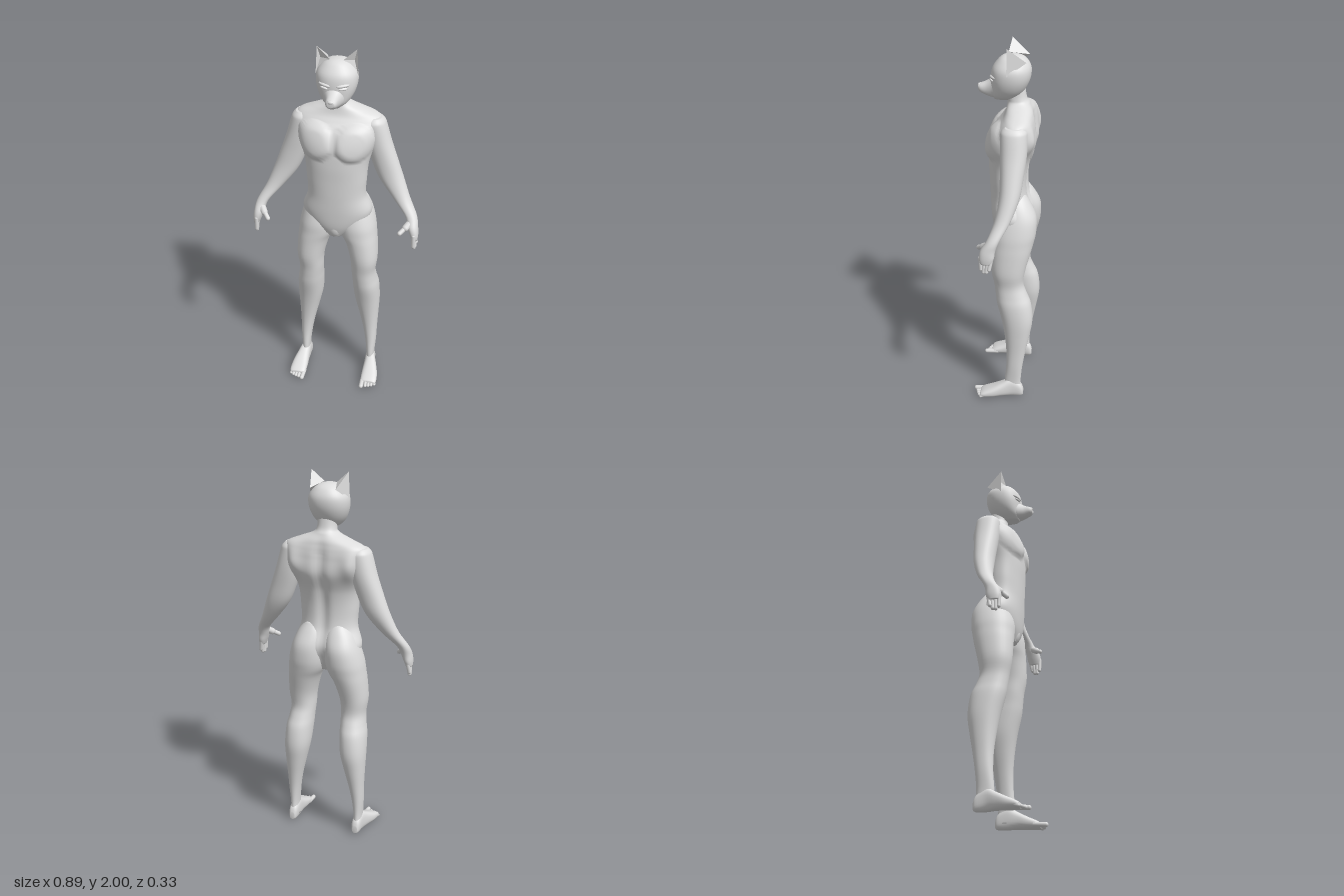
import * as THREE from 'three';

const skin = new THREE.MeshStandardMaterial({ color: 0xdedede });
skin.name = 'pale grey skin';
const eyeWhite = new THREE.MeshStandardMaterial({ color: 0xffffff });
eyeWhite.name = 'eye white';

// Smooth interpolation through a column of values
function smooth(rows, f) {
  const n = rows.length - 1, i = Math.min(Math.floor(f), n - 1), t = f - i;
  const a = rows[Math.max(i - 1, 0)], b = rows[i], c = rows[i + 1], d = rows[Math.min(i + 2, n)];
  return b.map((_, k) => {
    const m0 = (c[k] - a[k]) / 2, m1 = (d[k] - b[k]) / 2, t2 = t * t, t3 = t2 * t;
    return (2 * t3 - 3 * t2 + 1) * b[k] + (t3 - 2 * t2 + t) * m0 + (3 * t2 - 2 * t3) * c[k] + (t3 - t2) * m1;
  });
}

// Closed loft along y or z; each row is [position, uMin, uMax, vMin, vMax], positions ascending
function loft(rows, { axis = 'y', sides = 28, steps = 4, power = 0.92, bend = null } = {}) {
  const pos = [], idx = [], rings = (rows.length - 1) * steps + 1;
  const put = (u, v, t) => {
    const p = axis === 'y' ? [u, t, v] : [u, v, t];
    if (bend) bend(p);
    pos.push(...p);
  };
  const round = (c) => Math.sign(c) * Math.pow(Math.abs(c), power);
  const tri = (a, b, c) => idx.push(...(axis === 'y' ? [a, c, b] : [a, b, c]));
  for (let i = 0; i < rings; i++) {
    const [t, u0, u1, v0, v1] = smooth(rows, i / steps);
    for (let j = 0; j < sides; j++) {
      const a = (j / sides) * Math.PI * 2;
      put((u0 + u1) / 2 + round(Math.cos(a)) * (u1 - u0) / 2, (v0 + v1) / 2 + round(Math.sin(a)) * (v1 - v0) / 2, t);
    }
  }
  for (const r of [rows[0], rows[rows.length - 1]]) put((r[1] + r[2]) / 2, (r[3] + r[4]) / 2, r[0]);
  const low = rings * sides, top = (rings - 1) * sides;
  for (let j = 0; j < sides; j++) {
    const k = (j + 1) % sides;
    for (let i = 0; i < rings - 1; i++) {
      const a = i * sides + j, b = i * sides + k;
      tri(a, b, b + sides);
      tri(a, b + sides, a + sides);
    }
    tri(low, k, j);
    tri(low + 1, top + j, top + k);
  }
  const g = new THREE.BufferGeometry();
  g.setAttribute('position', new THREE.Float32BufferAttribute(pos, 3));
  g.setIndex(idx);
  g.computeVertexNormals();
  return g;
}

// Scaled and turned ball
function ball(center, radii, turnY = 0, turnZ = 0) {
  return new THREE.SphereGeometry(1, 24, 16).scale(...radii).rotateZ(turnZ).rotateY(turnY).translate(...center);
}

// Rounded rod between two points
function rod(from, to, radius) {
  const a = new THREE.Vector3(...from), b = new THREE.Vector3(...to), d = b.clone().sub(a);
  const g = new THREE.CapsuleGeometry(radius, d.length(), 4, 10);
  g.applyQuaternion(new THREE.Quaternion().setFromUnitVectors(new THREE.Vector3(0, 1, 0), d.normalize()));
  return g.translate(...a.add(b).multiplyScalar(0.5).toArray());
}

function mirrored(geo) {
  const g = geo.clone().scale(-1, 1, 1), ix = g.index.array;
  for (let i = 0; i < ix.length; i += 3) [ix[i + 1], ix[i + 2]] = [ix[i + 2], ix[i + 1]];
  const n = g.attributes.normal, p = geo.attributes.normal;
  for (let i = 0; i < n.count; i++) n.setXYZ(i, -p.getX(i), p.getY(i), p.getZ(i));
  return g;
}

// Chest muscles with a firm lower edge, shoulder blades and a spine groove
function muscles(p) {
  const x = Math.abs(p[0]), y = p[1];
  if (p[2] > 0) {
    const d = ((x - 0.1) / 0.1) ** 2 + ((y - 1.525) / 0.098) ** 2;
    p[2] += 0.021 * Math.sqrt(Math.min(Math.max((1 - d) * 1.6, 0), 1));
  } else if (p[2] < -0.06 && y < 1.7) {
    p[2] -= 0.03 * Math.exp(-(((x - 0.165) / 0.05) ** 2) - ((y - 1.55) / 0.075) ** 2);
    p[2] += 0.016 * Math.exp(-((x / 0.03) ** 2)) * Math.min((1.7 - y) * 10, 1);
  }
}

export function createModel() {
  const model = new THREE.Group();
  model.name = 'figure';
  const add = (name, geo, mat = skin) => {
    const m = new THREE.Mesh(geo, mat);
    m.name = name;
    model.add(m);
  };
  const pair = (name, geo, mat = skin) => {
    add('left ' + name, geo, mat);
    add('right ' + name, mirrored(geo), mat);
  };
  const even = ([y, w, z0, z1]) => [y, -w, w, z0, z1];

  // Torso and neck
  add('torso', loft([
    [0.955, 0.05, -0.09, 0.05], [1.02, 0.14, -0.125, 0.07], [1.1, 0.185, -0.146, 0.08], [1.2, 0.155, -0.114, 0.086],
    [1.3, 0.158, -0.108, 0.09], [1.4, 0.168, -0.122, 0.094], [1.5, 0.2, -0.156, 0.089], [1.58, 0.218, -0.152, 0.062],
    [1.62, 0.222, -0.146, 0.032], [1.645, 0.202, -0.14, 0.014], [1.67, 0.14, -0.132, 0.005], [1.7, 0.066, -0.113, 0],
    [1.73, 0.05, -0.096, 0.002], [1.8, 0.05, -0.085, 0.01]].map(even), { sides: 80, steps: 8, bend: muscles }));
  add('groin', ball([0, 1.01, 0.022], [0.046, 0.068, 0.046]));

  // Arms reach down to the palm
  pair('arm', loft([
    [1.0, 0.412, 0.444, 0.018, 0.076], [1.03, 0.4, 0.446, 0.006, 0.082], [1.07, 0.386, 0.442, 0, 0.075],
    [1.12, 0.367, 0.43, -0.02, 0.045], [1.2, 0.295, 0.386, -0.066, 0.015], [1.3, 0.216, 0.346, -0.102, 0.002],
    [1.4, 0.172, 0.31, -0.116, 0.002], [1.5, 0.14, 0.275, -0.126, 0.007], [1.59, 0.12, 0.249, -0.126, 0.01],
    [1.618, 0.13, 0.238, -0.12, 0.004], [1.636, 0.155, 0.22, -0.1, -0.015]], { sides: 32 }));
  for (let i = 0; i < 4; i++) {
    const z = 0.018 + i * 0.019, tip = [0.97, 0.954, 0.952, 0.966][i];
    pair('finger', rod([0.424, 1.03, z], [0.434 - i * 0.003, tip, 0.03 + i * 0.014], 0.0105));
  }
  pair('thumb base', rod([0.402, 1.092, 0.036], [0.38, 1.07, 0.066], 0.0185));
  pair('thumb', rod([0.382, 1.073, 0.064], [0.354, 1.05, 0.094], 0.0125));

  // Legs, from ankle to buttock
  pair('leg', loft([
    [0.03, 0.166, 0.216, -0.11, -0.015], [0.1, 0.17, 0.214, -0.102, -0.012], [0.2, 0.16, 0.221, -0.11, -0.02],
    [0.3, 0.142, 0.224, -0.126, -0.02], [0.4, 0.118, 0.229, -0.145, -0.01], [0.5, 0.095, 0.233, -0.16, 0.008],
    [0.6, 0.086, 0.229, -0.15, 0.033], [0.66, 0.084, 0.218, -0.126, 0.042], [0.72, 0.08, 0.212, -0.106, 0.05],
    [0.8, 0.074, 0.222, -0.115, 0.064], [0.9, 0.046, 0.218, -0.14, 0.066], [0.96, 0.014, 0.212, -0.155, 0.066],
    [1.02, 0.001, 0.204, -0.166, 0.064], [1.1, 0.001, 0.182, -0.164, 0.045], [1.17, 0.006, 0.15, -0.132, 0.02],
    [1.22, 0.03, 0.11, -0.1, 0]], { sides: 32 }));

  // Feet with toes
  pair('foot', loft([
    [-0.116, 0.178, 0.206, 0.01, 0.05], [-0.1, 0.168, 0.215, 0.002, 0.085], [-0.05, 0.165, 0.222, 0, 0.115],
    [0, 0.165, 0.238, 0.002, 0.092], [0.05, 0.163, 0.252, 0, 0.066], [0.1, 0.164, 0.256, 0, 0.042],
    [0.122, 0.17, 0.25, 0.003, 0.028]], { axis: 'z', power: 0.8 }));
  [[0.176, 0.153, 0.0125], [0.198, 0.142, 0.0095], [0.215, 0.137, 0.009], [0.231, 0.13, 0.009], [0.247, 0.119, 0.0085]]
    .forEach(([x, z, r]) => pair('toe', rod([x - 0.002, 0.018, 0.09], [x, r, z], r)));

  // Head and muzzle
  add('head', loft([
    [1.715, 0.03, -0.02, 0.07], [1.74, 0.064, -0.062, 0.08], [1.78, 0.09, -0.094, 0.082], [1.83, 0.104, -0.115, 0.083],
    [1.88, 0.101, -0.117, 0.074], [1.92, 0.072, -0.095, 0.045], [1.938, 0.042, -0.066, 0.022],
    [1.944, 0.012, -0.035, 0]].map(even), { sides: 32 }));
  add('muzzle', loft([
    [0.02, -0.075, 0.075, 1.717, 1.86], [0.06, -0.056, 0.056, 1.718, 1.84], [0.08, -0.044, 0.044, 1.721, 1.82],
    [0.105, -0.034, 0.034, 1.728, 1.803], [0.135, -0.027, 0.027, 1.742, 1.79],
    [0.148, -0.017, 0.017, 1.754, 1.785]], { axis: 'z', sides: 24 }));
  add('nose', ball([0, 1.779, 0.14], [0.017, 0.01, 0.011]));
  pair('eye', ball([0.047, 1.823, 0.0735], [0.022, 0.007, 0.008], 0.42, 0.06), eyeWhite);
  pair('brow', ball([0.046, 1.838, 0.068], [0.034, 0.009, 0.013], 0.42, 0.1));

  // Pointed ears, hollowed in front and running back along the skull
  const ear = new THREE.BufferGeometry();
  ear.setAttribute('position', new THREE.Float32BufferAttribute([
    0.1, 2, -0.01, 0.034, 1.943, 0, 0.107, 1.86, -0.008, 0.068, 1.925, -0.102, 0.085, 1.94, -0.02], 3));
  ear.setIndex([1, 2, 4, 2, 0, 4, 0, 1, 4, 0, 2, 3, 1, 0, 3, 1, 3, 2]);
  ear.computeVertexNormals();
  [['left ear', ear], ['right ear', mirrored(ear)]].forEach(([name, g]) => {
    const flat = g.toNonIndexed();
    flat.computeVertexNormals();
    add(name, flat);
  });

  return model;
}
